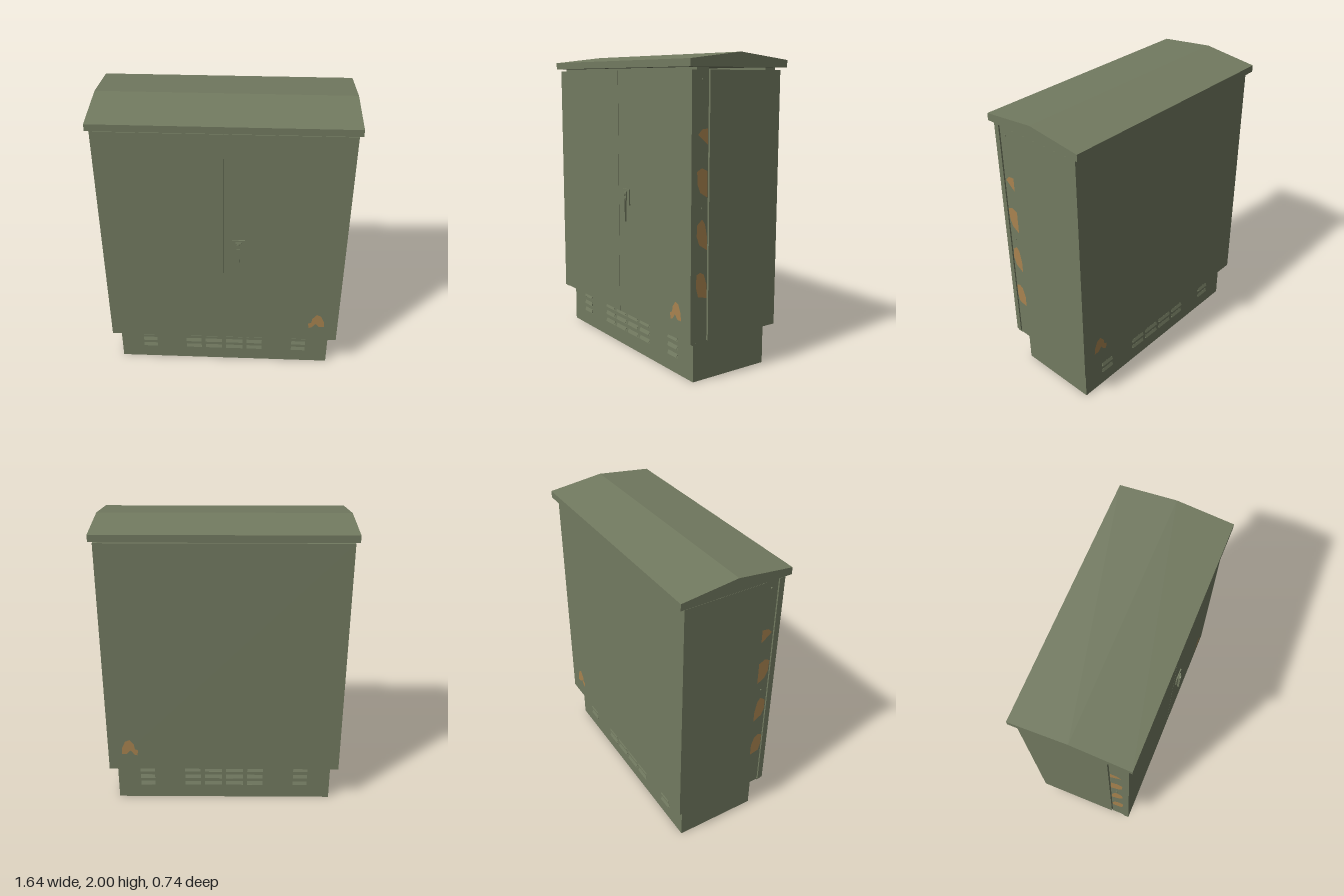
import * as THREE from 'three';

export function createModel() {
  const model = new THREE.Group();
  model.name = 'cabinet';
  const olive = new THREE.MeshStandardMaterial({ color: 0x727a60 });
  olive.name = 'olive paint';
  const rust = new THREE.MeshStandardMaterial({ color: 0xa8834f, side: THREE.DoubleSide });
  rust.name = 'rust orange';

  function add(name, geometry, material = olive, parent = model) {
    const mesh = new THREE.Mesh(geometry, material);
    mesh.name = name;
    parent.add(mesh);
    return mesh;
  }
  // Box given by its limits on each axis
  function box(name, x0, x1, y0, y1, z0, z1, parent = model) {
    const g = new THREE.BoxGeometry(x1 - x0, y1 - y0, z1 - z0);
    g.translate((x0 + x1) / 2, (y0 + y1) / 2, (z0 + z1) / 2);
    return add(name, g, olive, parent);
  }
  const shapeOf = pts => new THREE.Shape(pts.map(p => new THREE.Vector2(p[0], p[1])));

  // Housing
  box('body', -0.8, 0.8, 0.27, 1.895, -0.335, 0.212);
  box('doorFrameCore', -0.77, 0.77, 0.27, 1.91, 0.212, 0.305);
  box('rearRoofSupport', -0.77, 0.77, 1.895, 1.915, -0.32, -0.24);

  // Shallow gabled roof
  const gable = shapeOf([[-0.372, 1.912], [0.372, 1.912], [0.372, 1.957], [0, 2], [-0.372, 1.957]]);
  const roof = new THREE.ExtrudeGeometry(gable, { depth: 1.64, bevelEnabled: false });
  roof.translate(0, 0, -0.82).rotateY(Math.PI / 2);
  add('roof', roof);

  // Outlines of the rust patches on the side posts, as [-z, y]
  const sidePatches = [
    [[-0.222, 1.56], [-0.265, 1.556], [-0.295, 1.525], [-0.222, 1.465]],
    [[-0.265, 1.33], [-0.222, 1.31], [-0.222, 1.153], [-0.275, 1.185], [-0.296, 1.233], [-0.3, 1.312]],
    [[-0.26, 1.026], [-0.238, 0.995], [-0.222, 0.915], [-0.222, 0.836], [-0.28, 0.873], [-0.3, 0.926], [-0.296, 0.995]],
    [[-0.27, 0.704], [-0.243, 0.688], [-0.222, 0.624], [-0.222, 0.54], [-0.286, 0.556], [-0.3, 0.608], [-0.3, 0.693]],
  ];

  // Doors, hinge posts, bolts and rust on both sides
  for (const s of [-1, 1]) {
    const span = (a, b) => [Math.min(s * a, s * b), Math.max(s * a, s * b)];
    box('door', ...span(0.002, 0.8), 0.27, 1.895, 0.308, 0.345);
    box('hingePost', ...span(0.765, 0.793), 0.26, 1.91, 0.218, 0.305);
    box('postFoot', ...span(0.775, 0.797), 0.26, 0.272, 0.3, 0.335);
    for (const y of [1.09, 1.84]) {
      const bolt = new THREE.CylinderGeometry(0.008, 0.008, 0.006, 10);
      bolt.rotateZ(Math.PI / 2).translate(s * 0.795, y, 0.26);
      add('postBolt', bolt);
    }
    for (const pts of sidePatches) {
      const patch = new THREE.ShapeGeometry(shapeOf(pts));
      patch.rotateY(Math.PI / 2).translate(s * 0.795, 0, 0);
      add('postRust', patch, rust);
    }
  }

  // Arched rust patch on the front door and the back wall
  const arch = shapeOf([[0.6, 0.38], [0.593, 0.42], [0.615, 0.43], [0.62, 0.465], [0.65, 0.503],
    [0.68, 0.49], [0.703, 0.44], [0.708, 0.392], [0.672, 0.392], [0.645, 0.42], [0.62, 0.386]]);
  for (const z of [0.347, -0.337]) {
    add('wallRust', new THREE.ShapeGeometry(arch).translate(0, 0, z), rust);
  }

  // Door handle
  const handle = new THREE.Group();
  handle.name = 'handle';
  model.add(handle);
  box('handlePlate', 0.055, 0.14, 1.025, 1.13, 0.345, 0.353, handle);
  box('handleMount', 0.078, 0.116, 1.055, 1.115, 0.353, 0.362, handle);
  box('handleLever', 0.087, 0.108, 0.915, 1.07, 0.354, 0.368, handle);
  const lock = new THREE.CylinderGeometry(0.012, 0.012, 0.008, 16);
  lock.rotateX(Math.PI / 2).translate(0.097, 1.095, 0.365);
  add('handleLock', lock, olive, handle);

  // Hollow plinth
  box('plinthFloor', -0.75, 0.75, 0, 0.01, -0.285, 0.285);
  for (const s of [-1, 1]) box('plinthSide', s * 0.745 - 0.005, s * 0.745 + 0.005, 0, 0.27, -0.285, 0.285);

  // Slotted plinth walls with a sloping hood over each slot
  const columns = [[-0.54, 0.1], [-0.22, 0.11], [-0.075, 0.12], [0.075, 0.12], [0.22, 0.11], [0.54, 0.1]];
  const rows = [0.11, 0.165, 0.22];
  for (const s of [-1, 1]) {
    const wall = shapeOf([[-0.75, 0], [0.75, 0], [0.75, 0.27], [-0.75, 0.27]]);
    for (const [x, w] of columns) {
      for (const y of rows) {
        const a = x - w / 2, b = x + w / 2;
        wall.holes.push(new THREE.Path([[a, y - 0.009], [a, y + 0.009], [b, y + 0.009], [b, y - 0.009]]
          .map(p => new THREE.Vector2(...p))));
        const hood = add('ventHood', new THREE.BoxGeometry(w, 0.026, 0.002));
        hood.position.set(x, y + 0.01, s * 0.289);
        hood.rotation.x = -s * 0.35;
      }
    }
    const panel = new THREE.ExtrudeGeometry(wall, { depth: 0.008, bevelEnabled: false });
    panel.translate(0, 0, s > 0 ? 0.277 : -0.285);
    add('plinthWall', panel);
  }
  return model;
}
